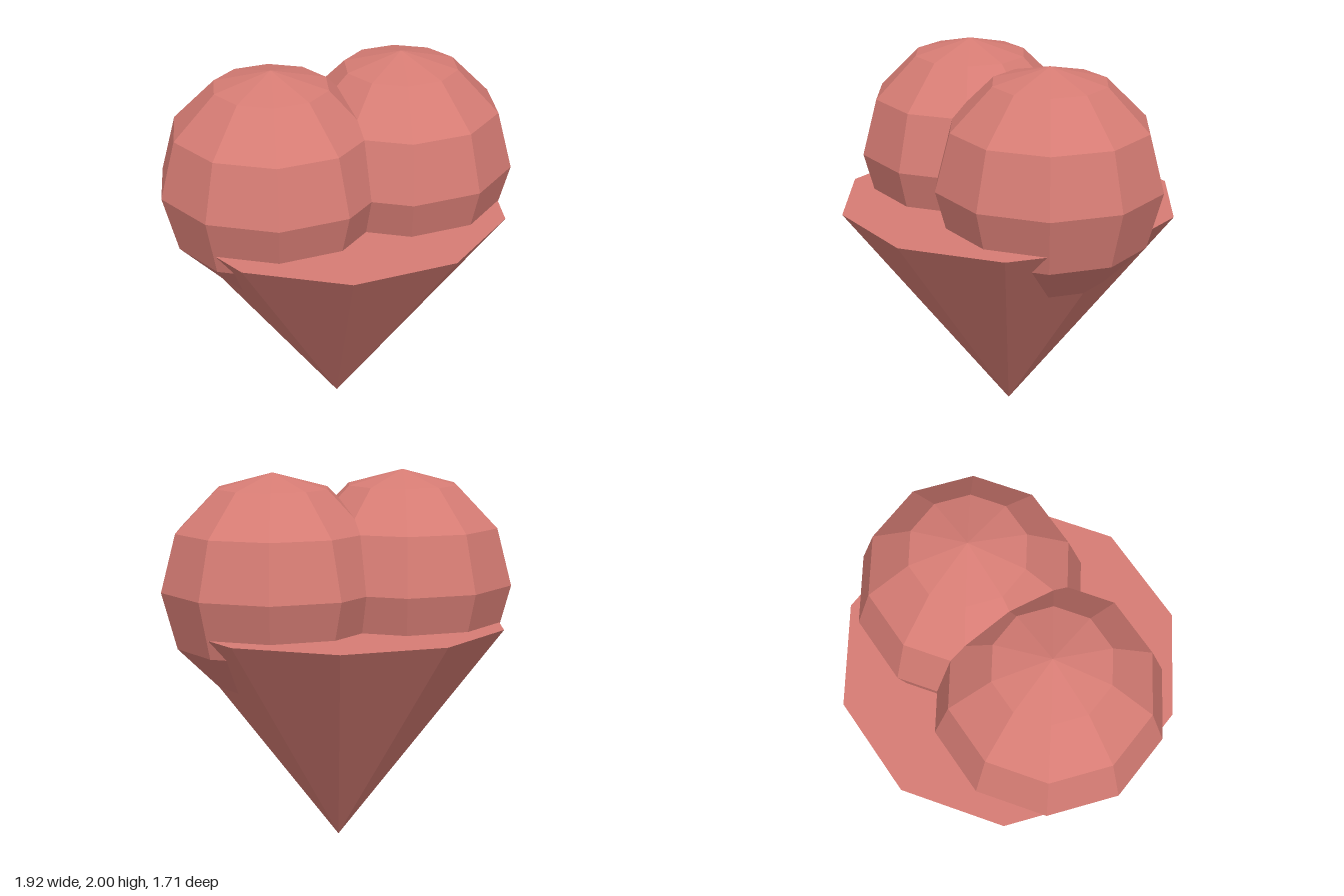
import * as THREE from 'three';

export function createModel() {
  const model = new THREE.Group();
  model.name = 'heart';

  const rosePink = new THREE.MeshStandardMaterial({ color: 0xd67c74, flatShading: true });
  rosePink.name = 'rosePink';

  // Ten-sided cone standing on its tip, with a corner on each side
  const cone = new THREE.Mesh(
    new THREE.CylinderGeometry(0.9, 0, 1.2, 10, 1, false, Math.PI / 10),
    rosePink
  );
  cone.name = 'lowerCone';
  cone.position.y = 0.6;
  model.add(cone);

  // Two overlapping faceted lobes
  const lobeGeometry = new THREE.SphereGeometry(0.6, 10, 6);
  for (const [name, side] of [['leftLobe', 1], ['rightLobe', -1]]) {
    const lobe = new THREE.Mesh(lobeGeometry, rosePink);
    lobe.name = name;
    lobe.position.set(0.36 * side, 1.4, 0);
    model.add(lobe);
  }

  return model;
}
